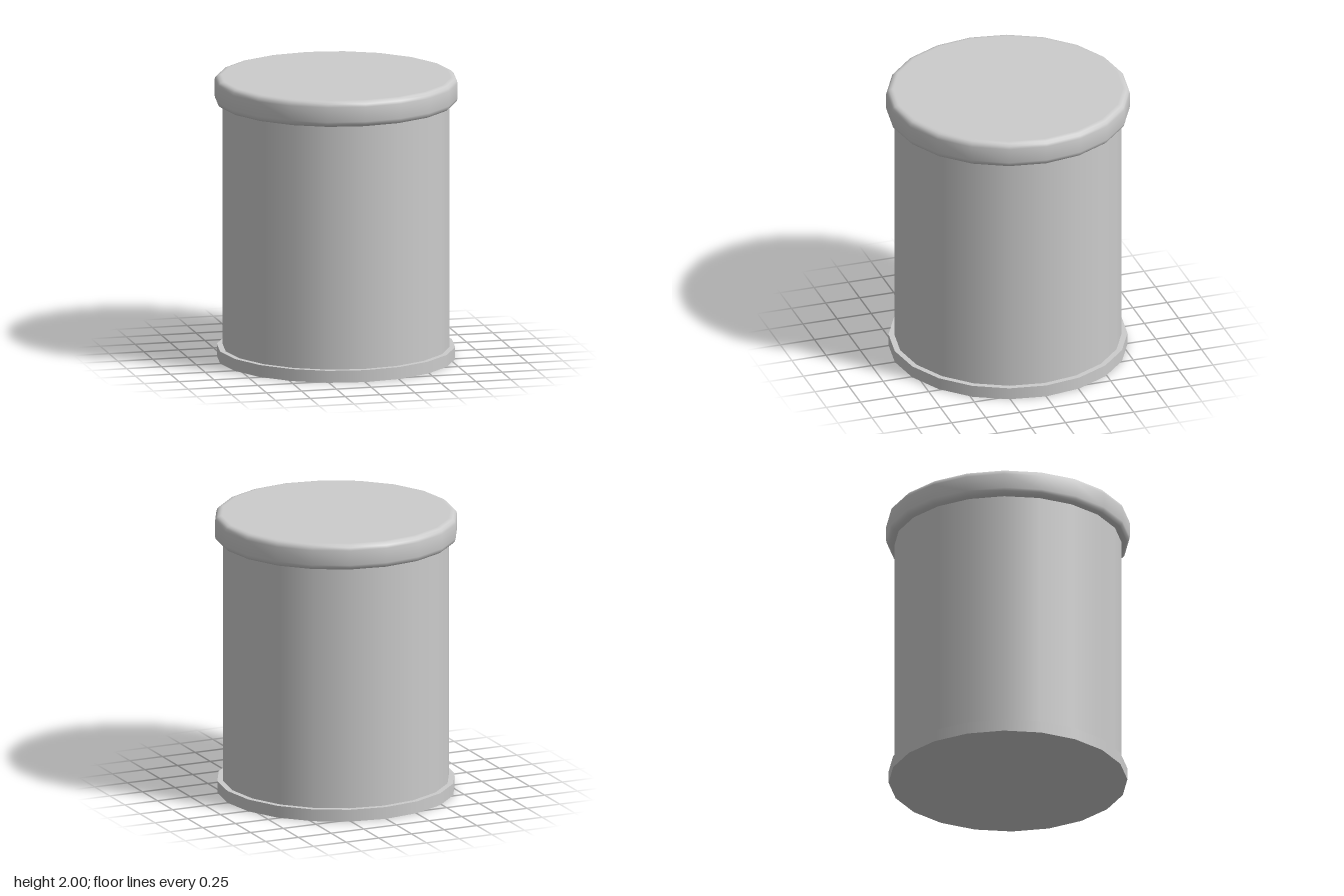
import * as THREE from 'three';
import { toCreasedNormals } from 'three/addons/utils/BufferGeometryUtils.js';

const SIDES = 20;
const material = new THREE.MeshStandardMaterial({ color: 0xcccccc });

function addPart(group, name, geometry) {
  const mesh = new THREE.Mesh(geometry, material);
  mesh.name = name;
  group.add(mesh);
  return mesh;
}

// Closed disc with rounded upper and lower rims
function roundedDisc(radius, bottom, top, fillet, steps) {
  const flat = radius - fillet;
  const points = [new THREE.Vector2(0, bottom), new THREE.Vector2(flat - 0.01, bottom)];
  for (const [centreY, start] of [[bottom + fillet, -Math.PI / 2], [top - fillet, 0]]) {
    for (let i = 0; i <= steps; i++) {
      const a = start + (i / steps) * Math.PI / 2;
      points.push(new THREE.Vector2(flat + fillet * Math.cos(a), centreY + fillet * Math.sin(a)));
    }
  }
  points.push(new THREE.Vector2(flat - 0.01, top), new THREE.Vector2(0, top));
  return toCreasedNormals(new THREE.LatheGeometry(points, SIDES), 0.7);
}

export function createModel() {
  const group = new THREE.Group();
  group.name = 'canister';

  // Base rim
  const baseHeight = 0.085;
  addPart(group, 'base', new THREE.CylinderGeometry(0.83, 0.83, baseHeight, SIDES))
    .position.y = baseHeight / 2;

  // Straight wall, running from inside the base up into the lid
  const wallBottom = 0.04, wallTop = 1.86;
  addPart(group, 'body', new THREE.CylinderGeometry(0.79, 0.79, wallTop - wallBottom, SIDES))
    .position.y = (wallBottom + wallTop) / 2;

  // Overhanging lid with soft edges
  addPart(group, 'lid', roundedDisc(0.847, 1.815, 2, 0.04, 3));

  return group;
}
